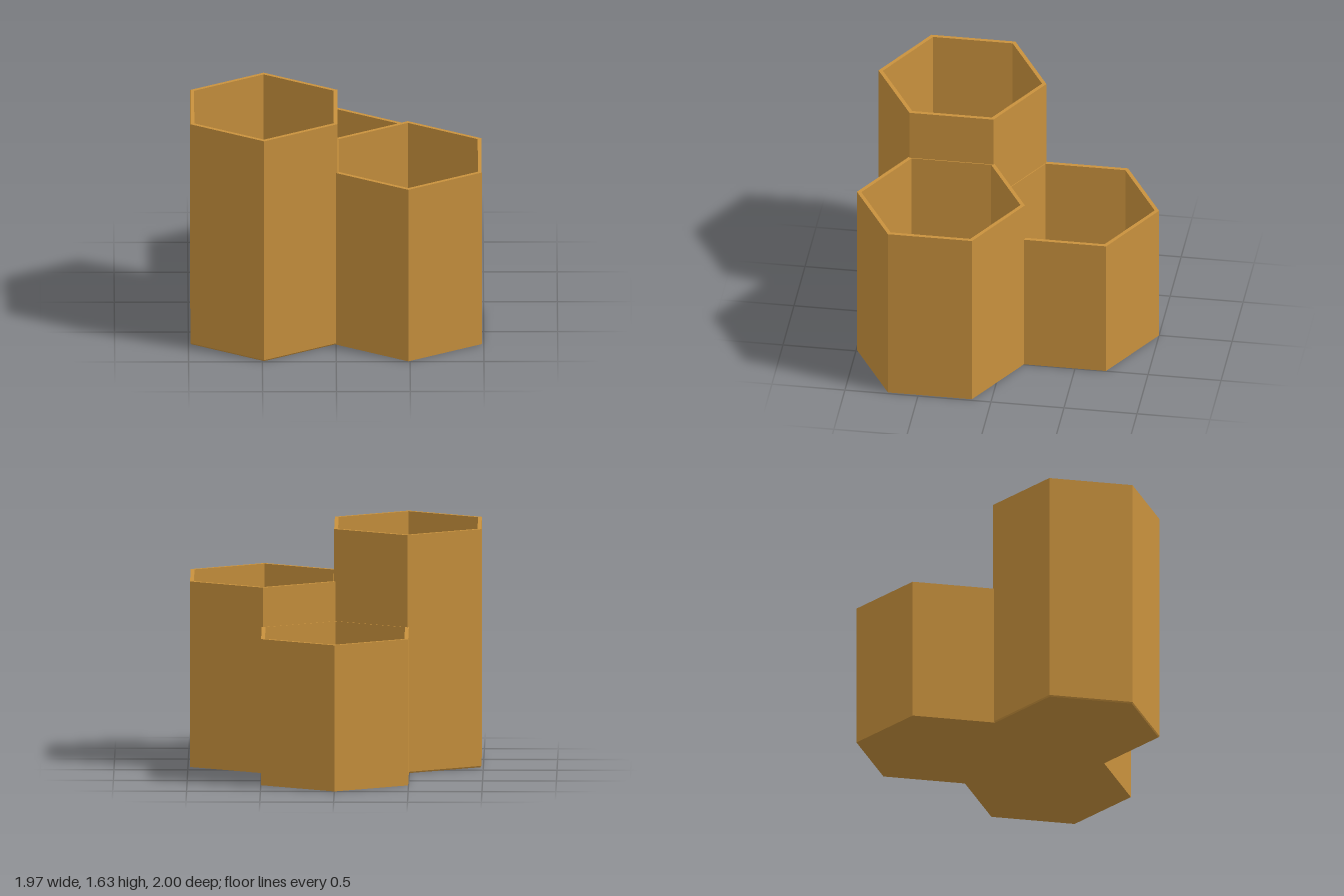
import * as THREE from 'three';

const OUTER = 0.575; // corner radius of a cell
const INNER = 0.545; // corner radius of its cavity
const FLOOR = 0.03;

// Open hexagonal cup, corners pointing along z; chamfer eases the bottom edge
function hexCup(height, chamfer = 0) {
  const profile = [[0, 0], [OUTER - chamfer * 0.7, 0]];
  if (chamfer) profile.push([OUTER, chamfer]);
  else profile[1][0] = OUTER;
  profile.push([OUTER, height], [INNER, height], [INNER, FLOOR], [0, FLOOR]);
  const lathe = new THREE.LatheGeometry(profile.map(([r, y]) => new THREE.Vector2(r, y)), 6);
  const geometry = lathe.toNonIndexed(); // separate faces give crisp edges
  geometry.computeVertexNormals();
  return geometry;
}

export function createModel() {
  const model = new THREE.Group();
  model.name = 'hexagonalOrganizer';

  const honey = new THREE.MeshStandardMaterial({ color: 0xc8913d });
  honey.name = 'honey brown';

  // name, x, z, height, bottom chamfer
  const cups = [
    ['tallCup', -0.488, 0.42, 1.63, 0.01],
    ['mediumCup', 0.488, 0.42, 1.27, 0],
    ['shortCup', 0, -0.425, 1.0, 0],
  ];
  for (const [name, x, z, height, chamfer] of cups) {
    const cup = new THREE.Mesh(hexCup(height, chamfer), honey);
    cup.name = name;
    cup.position.set(x, 0, z);
    model.add(cup);
  }
  return model;
}
